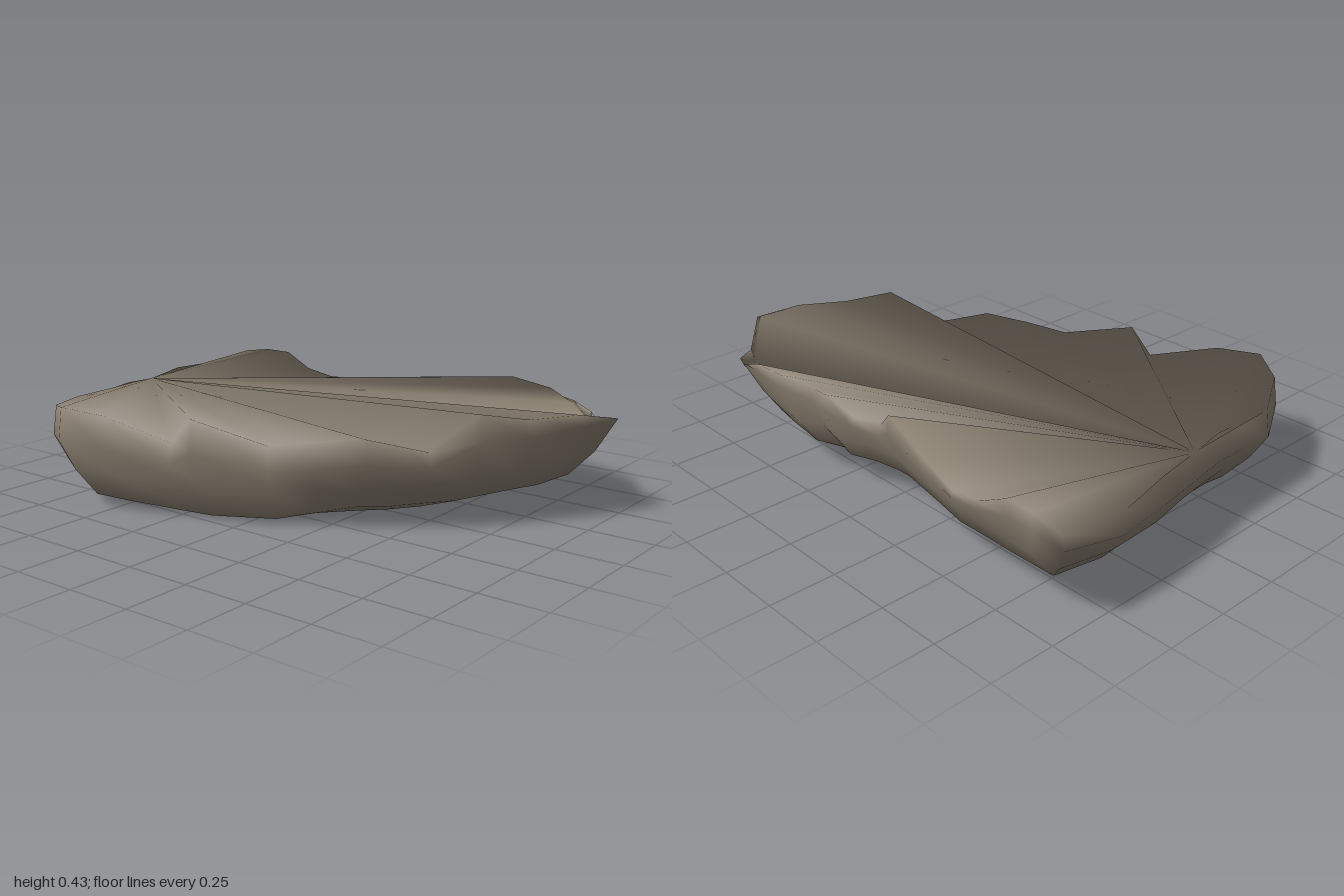
import * as THREE from 'three';

// Rim of the slab, going round from the back right corner: x, height, z
const RIM = [
  [-0.99, 0.35, -0.70], [-0.86, 0.37, -0.70], [-0.74, 0.37, -0.70], [-0.62, 0.31, -0.70],
  [-0.49, 0.29, -0.70], [-0.30, 0.31, -0.655], [-0.04, 0.36, -0.60], [0.00, 0.31, -0.605],
  [0.12, 0.30, -0.63], [0.21, 0.38, -0.685], [0.31, 0.36, -0.665], [0.42, 0.40, -0.73],
  [0.60, 0.38, -0.715], [0.70, 0.34, -0.70], [0.79, 0.29, -0.66], [0.89, 0.24, -0.55],
  [1.00, 0.37, -0.44], [0.94, 0.40, -0.29], [0.84, 0.40, -0.12], [0.73, 0.43, 0.03],
  [0.60, 0.30, 0.15], [0.53, 0.32, 0.21], [0.43, 0.35, 0.30], [0.28, 0.33, 0.39],
  [0.13, 0.31, 0.46], [-0.14, 0.385, 0.565], [-0.23, 0.29, 0.58], [-0.48, 0.37, 0.68],
  [-0.65, 0.385, 0.725], [-0.78, 0.36, 0.64], [-0.90, 0.34, 0.43], [-0.89, 0.34, 0.30],
  [-0.90, 0.35, 0.15], [-0.92, 0.34, 0.0], [-0.96, 0.35, -0.20], [-1.00, 0.33, -0.45],
];
const APEX = 33; // the flat top fans out from this rim point
const N = RIM.length;

// Levels below the rim: outline scale, height, share of the rim height, roughness
const LEVELS = [
  [0.985, 0, 1, 0],
  [1.0, 0.05, 0.55, 0],
  [0.94, 0.145, 0, 0.01],
  [0.86, 0.068, 0, 0.01],
  [0.66, 0.028, 0, 0.005],
  [0.34, 0.034, 0, 0.004],
];

const hill = (d, width) => Math.exp(-(d * d) / (width * width));

export function createModel() {
  const group = new THREE.Group();
  const stone = new THREE.MeshStandardMaterial({ color: 0x8c8172 });
  stone.name = 'stone';

  const cx = -0.06, cz = -0.05;
  const pos = [], index = [];
  LEVELS.forEach(([scale, height, share, rough], level) => {
    RIM.forEach(([x, y, z], i) => {
      // gentle lumps, and a hollow under the front left edge
      const lump = rough * (Math.sin(i * 1.3 + level) + 0.6 * Math.sin(i * 2.9 + level * 2));
      const hollow = level === 2 || level === 3 ? 0.06 * hill(x - 0.42, 0.18) * (z > 0 ? 1 : 0) : 0;
      const s = scale + lump - hollow;
      const px = cx + (x - cx) * s, pz = cz + (z - cz) * s;
      let py = height + share * y + lump * 0.6;
      // the underside rises to the left and back and sags along the front
      if (level > 0) py += 0.09 * Math.max(px, 0) ** 2 + 0.13 * Math.min(pz, 0) ** 2;
      if (level > 2) {
        const sag = level === 3 ? 0.05 : 0.025;
        const along = Math.max(-0.5, Math.min(0.08, px));
        py -= sag * hill(Math.hypot(px - along, pz - 0.45), 0.22);
      }
      pos.push(px, Math.max(0, py), pz);
    });
  });
  const centre = pos.length / 3;
  pos.push(cx, 0.045, cz);

  // flanks
  for (let l = 0; l < LEVELS.length - 1; l++) {
    for (let i = 0; i < N; i++) {
      const j = (i + 1) % N;
      const a = l * N + i, b = l * N + j;
      index.push(a, b, a + N, b, b + N, a + N);
    }
  }
  // underside
  const last = (LEVELS.length - 1) * N;
  for (let i = 0; i < N; i++) index.push(centre, last + i, last + (i + 1) % N);

  const geometry = new THREE.BufferGeometry();
  geometry.setAttribute('position', new THREE.Float32BufferAttribute(pos, 3));
  geometry.setIndex(index);
  geometry.computeVertexNormals();

  // the rim is rounded over, so its smooth normals lean outward and up
  const normal = geometry.attributes.normal;
  const n = new THREE.Vector3();
  for (let i = 0; i < N; i++) {
    n.fromBufferAttribute(normal, i);
    n.y = Math.max(n.y, 0) + 0.3;
    n.normalize();
    normal.setXYZ(i, n.x, n.y, n.z);
  }

  // top, fanned from the apex and sharing the rim normals
  for (let k = 1; k < N - 1; k++) {
    index.push(APEX, (APEX + k + 1) % N, (APEX + k) % N);
  }
  geometry.setIndex(index);

  const slab = new THREE.Mesh(geometry, stone);
  slab.name = 'rockSlab';
  group.add(slab);
  return group;
}
